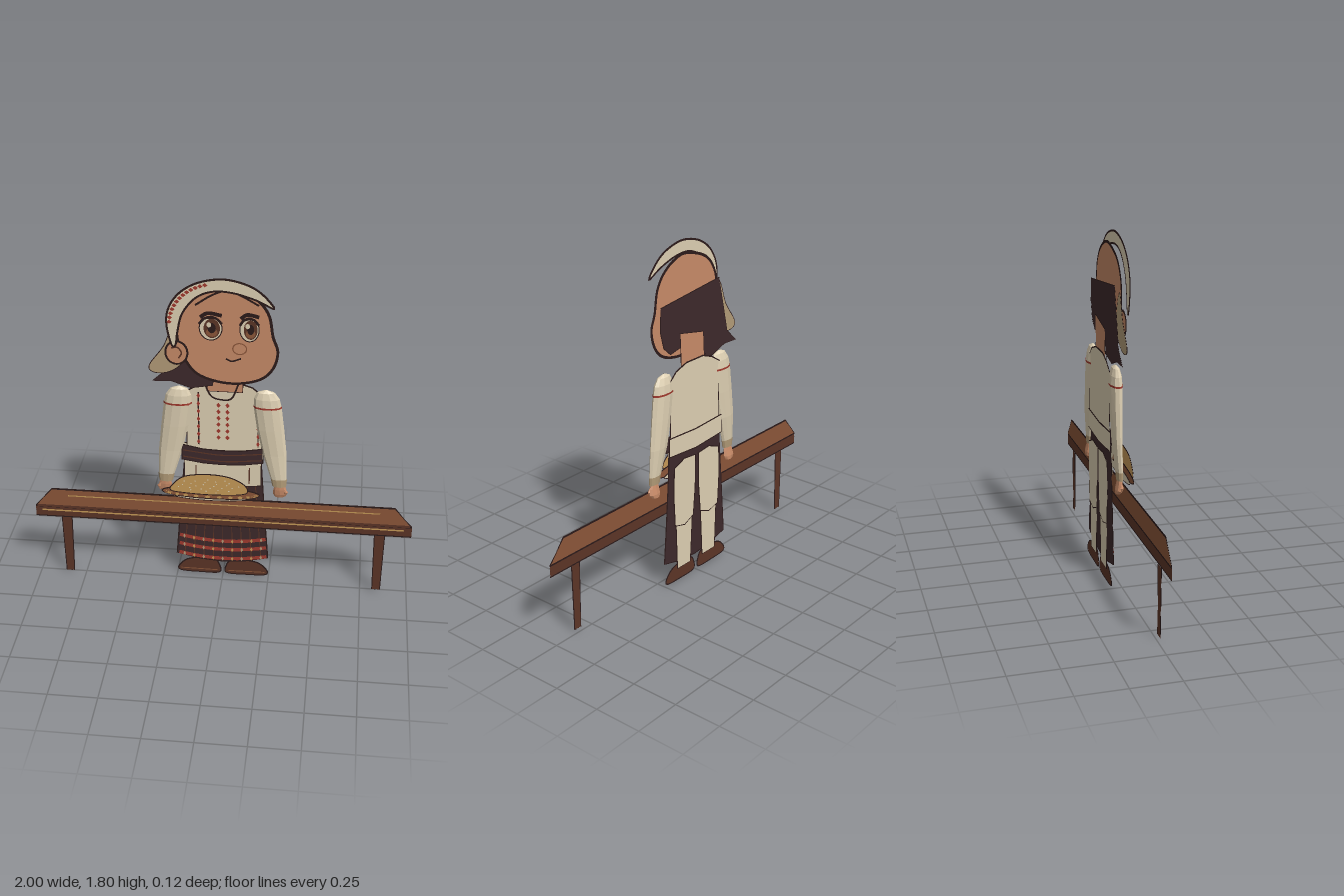
import * as THREE from 'three';

const paint = (name, color) => {
  const m = new THREE.MeshStandardMaterial({ color, side: THREE.DoubleSide });
  m.name = name;
  return m;
};

export function createModel() {
  const skin = paint('skin', 0xc88b68), cream = paint('cream', 0xded0b3), tan = paint('tan', 0xb39c78);
  const wood = paint('wood', 0x8c573a), darkWood = paint('dark wood', 0x5c3527), hair = paint('dark cloth', 0x3d292b);
  const red = paint('red', 0xa23a2e), gold = paint('crust gold', 0xc79a58), ink = paint('ink', 0x2c1b1a);
  const root = new THREE.Group();

  const group = (name, parent = root) => {
    const g = new THREE.Group();
    g.name = name;
    parent.add(g);
    return g;
  };
  const add = (g, name, geo, mat) => {
    const m = new THREE.Mesh(geo, mat);
    m.name = name;
    g.add(m);
    return m;
  };
  const spline = (pts, closed) =>
    new THREE.CatmullRomCurve3(pts.map(p => new THREE.Vector3(p[0], p[1], 0)), closed, 'catmullrom', 0.5)
      .getPoints(pts.length * 5).map(v => [v.x, v.y]);

  // Flat line of constant width along a path
  function line(g, name, pts, w, z, mat = ink, closed = false) {
    const n = pts.length, pos = [], idx = [];
    for (let i = 0; i < n; i++) {
      const a = pts[closed ? (i + n - 1) % n : Math.max(i - 1, 0)];
      const b = pts[closed ? (i + 1) % n : Math.min(i + 1, n - 1)];
      const dx = b[0] - a[0], dy = b[1] - a[1], l = (Math.hypot(dx, dy) || 1) * 2 / w;
      pos.push(pts[i][0] - dy / l, pts[i][1] + dx / l, z, pts[i][0] + dy / l, pts[i][1] - dx / l, z);
      if (closed || i < n - 1) {
        const k = 2 * i, m = 2 * ((i + 1) % n);
        idx.push(k, k + 1, m, k + 1, m + 1, m);
      }
    }
    const geo = new THREE.BufferGeometry();
    geo.setAttribute('position', new THREE.Float32BufferAttribute(pos, 3));
    geo.setIndex(idx);
    geo.computeVertexNormals();
    return add(g, name, geo, mat);
  }

  // Flat cut-out, with an outline on both faces when w > 0
  function plate(g, name, pts, mat, z, w = 0, smooth = false) {
    const p = smooth ? spline(pts, true).slice(0, -1) : pts;
    const geo = new THREE.ShapeGeometry(new THREE.Shape(p.map(q => new THREE.Vector2(...q))));
    add(g, name, geo.translate(0, 0, z), mat);
    if (w) for (const s of [1, -1]) line(g, name + 'Outline', p, w, z + s * 0.0012, ink, true);
  }
  const oval = (x, y, rx, ry, n = 24) => Array.from({ length: n }, (_, i) => {
    const a = i / n * Math.PI * 2;
    return [x + rx * Math.cos(a), y + ry * Math.sin(a)];
  });
  const box = (x0, y0, x1, y1) => [[x0, y0], [x1, y0], [x1, y1], [x0, y1]];
  const flip = pts => pts.map(([x, y]) => [-x, y]);

  // Faceted tube through rows of [y, x, z, rx, rz]
  function loft(g, name, rows, side, mat, n = 10) {
    const pos = [], idx = [];
    rows.forEach(([y, x, z, rx, rz], r) => {
      for (let i = 0; i < n; i++) {
        const a = i / n * Math.PI * 2;
        pos.push(side * x + rx * Math.cos(a), y, z + rz * Math.sin(a));
        const k = r * n + i, m = r * n + (i + 1) % n;
        if (r < rows.length - 1) idx.push(k, m, k + n, m, m + n, k + n);
      }
    });
    let geo = new THREE.BufferGeometry();
    geo.setAttribute('position', new THREE.Float32BufferAttribute(pos, 3));
    geo.setIndex(idx);
    geo = geo.toNonIndexed();
    geo.computeVertexNormals();
    add(g, name, geo, mat);
  }

  // Table
  const table = group('table');
  plate(table, 'tableTop', [[-1, 0.43], [1, 0.43], [0.905, 0.543], [-0.905, 0.543]], wood, 0.02, 0.009);
  plate(table, 'tableEdge', box(-1, 0.37, 1, 0.43), darkWood, 0.02, 0.007);
  line(table, 'topHighlight', [[-0.82, 0.505], [0.83, 0.505]], 0.007, 0.022, gold);
  line(table, 'edgeHighlight', [[-0.965, 0.408], [0.96, 0.408]], 0.009, 0.022, gold);
  line(table, 'topLip', [[-0.99, 0.435], [0.99, 0.435]], 0.014, 0.0225, darkWood);
  for (const s of [-1, 1])
    plate(table, 'tableLeg', [[s * 0.862, 0.37], [s * 0.857, 0.01], [s * 0.815, 0.01], [s * 0.808, 0.37]], darkWood, 0.015, 0.005);

  // Bread on a braided plate
  const bread = group('bread');
  plate(bread, 'cloth', oval(-0.055, 0.565, 0.2, 0.025), cream, 0.038, 0.004);
  plate(bread, 'plateRim', oval(-0.055, 0.59, 0.255, 0.036, 36), wood, 0.042, 0.006);
  for (let i = 0; i < 24; i++) {
    const a = Math.PI * (1.02 + 0.96 * i / 23);
    plate(bread, 'braid', oval(-0.055 + 0.235 * Math.cos(a), 0.59 + 0.024 * Math.sin(a), 0.013, 0.008, 8), i % 2 ? gold : wood, 0.046);
  }
  plate(bread, 'loaf', [[-0.265, 0.605], [-0.25, 0.64], [-0.19, 0.69], [-0.08, 0.708], [0.03, 0.7], [0.11, 0.665], [0.14, 0.62],
    [0.1, 0.595], [-0.06, 0.585], [-0.22, 0.592]], gold, 0.052, 0.005, true);
  for (let i = 0; i < 26; i++) {
    const a = i * 2.4, r = Math.sqrt((i + 0.5) / 26);
    plate(bread, 'seed', oval(-0.06 + 0.17 * r * Math.cos(a), 0.643 + 0.043 * r * Math.sin(a), 0.004, 0.004, 6), cream, 0.06);
  }

  // Legs and shoes
  const legs = group('legs');
  for (const s of [-1, 1]) {
    plate(legs, 'thigh', [[s * 0.175, 0.33], [s * 0.185, 0.5], [s * 0.18, 0.66], [s * 0.1, 0.69], [s * 0.012, 0.68],
      [s * 0.015, 0.5], [s * 0.03, 0.34], [s * 0.1, 0.31]], cream, -0.06, 0.006);
    plate(legs, 'shin', [[s * 0.165, 0.34], [s * 0.155, 0.07], [s * 0.05, 0.07], [s * 0.035, 0.34]], cream, -0.057, 0.006);
    plate(legs, 'shoe', [[s * 0.02, 0.008], [s * 0.02, 0.06], [s * 0.05, 0.095], [s * 0.13, 0.098], [s * 0.2, 0.08],
      [s * 0.242, 0.035], [s * 0.23, 0.008], [s * 0.13, 0.003]], darkWood, -0.054, 0.007, true);
    line(legs, 'shoeSole', [[s * 0.03, 0.024], [s * 0.23, 0.026]], 0.006, -0.05, wood);
  }

  // Skirt with woven bands
  const skirt = group('skirt');
  plate(skirt, 'skirtCloth', [[-0.2, 0.75], [0.2, 0.75], [0.225, 0.38], [0.245, 0.13], [0.12, 0.1], [0, 0.09], [-0.12, 0.1],
    [-0.25, 0.13], [-0.23, 0.38]], hair, -0.045, 0.007);
  for (let i = -4; i <= 4; i++) line(skirt, 'pleat', [[i * 0.043, 0.6], [i * 0.052, 0.12]], 0.005, -0.042, darkWood);
  for (const y of [0.255, 0.2, 0.14]) {
    const w = 0.245 - y * 0.05, sag = x => y - 0.028 * (1 - (x / w) ** 2);
    const path = Array.from({ length: 13 }, (_, i) => w * (i / 6 - 1)).map(x => [x, sag(x)]);
    line(skirt, 'band', path, 0.022, -0.04, red);
    for (let i = -4; i <= 4; i++) plate(skirt, 'bandKnot', oval(i * 0.052, sag(i * 0.052), 0.007, 0.014, 4), i % 2 ? gold : tan, -0.037);
  }

  // Shirt, belt and embroidery
  const shirt = group('shirt');
  plate(shirt, 'torso', [[-0.185, 0.78], [0.2, 0.78], [0.195, 1], [0.2, 1.13], [0.15, 1.175], [0.07, 1.2], [-0.06, 1.2],
    [-0.13, 1.175], [-0.2, 1.13], [-0.19, 1]], cream, -0.05, 0.007);
  plate(shirt, 'waistBack', [[-0.21, 0.73], [0, 0.715], [0.21, 0.73], [0.21, 0.83], [0, 0.82], [-0.21, 0.83]], cream, -0.054, 0.006);
  plate(shirt, 'shirtHem', [[-0.2, 0.6], [0, 0.58], [0.2, 0.6], [0.2, 0.75], [-0.2, 0.75]], cream, -0.036, 0.005);
  for (const x of [-0.14, 0.14]) line(shirt, 'hemFold', [[x, 0.71], [x, 0.61]], 0.006, -0.032, darkWood);
  plate(shirt, 'belt', [[-0.212, 0.745], [-0.1, 0.728], [0, 0.724], [0.1, 0.728], [0.208, 0.745], [0.205, 0.83], [0.1, 0.812],
    [0, 0.808], [-0.1, 0.812], [-0.21, 0.835]], hair, -0.028, 0.006);
  for (const y of [0.788, 0.75])
    line(shirt, 'beltTrim', spline([[-0.205, y + 0.015], [0, y - 0.005], [0.203, y + 0.013]]), 0.007, -0.024, darkWood);
  line(shirt, 'collar', spline([[-0.095, 1.2], [-0.06, 1.125], [-0.01, 1.105], [0.045, 1.115], [0.08, 1.2]]), 0.009, -0.038);
  for (const x of [-0.125, 0.182]) {
    line(shirt, 'seam', [[x, 1.14], [x, 0.83]], 0.007, -0.044, ink);
    for (let i = 0; i < 7; i++) plate(shirt, 'stitch', oval(x, 1.12 - i * 0.045, 0.009, 0.015, 4), red, -0.041);
  }
  for (const x of [-0.022, 0.024])
    for (let i = 0; i < 6; i++) plate(shirt, 'stitch', oval(x, 1.07 - i * 0.038, 0.011, 0.014, 4), red, -0.041);

  // Arms
  for (const s of [-1, 1]) {
    const arm = group(s > 0 ? 'leftArm' : 'rightArm');
    loft(arm, 'sleeve', [[1.18, 0.22, -0.028, 0.004, 0.002], [1.165, 0.22, -0.028, 0.045, 0.017], [1.13, 0.224, -0.029, 0.065, 0.027],
      [1.08, 0.229, -0.03, 0.071, 0.031], [0.95, 0.246, -0.032, 0.07, 0.029], [0.8, 0.27, -0.034, 0.062, 0.024],
      [0.65, 0.295, -0.029, 0.041, 0.017]], s, cream);
    loft(arm, 'sleeveBand', [[1.088, 0.229, -0.03, 0.0725, 0.032], [1.078, 0.229, -0.03, 0.0725, 0.032]], s, red);
    loft(arm, 'cuff', [[0.655, 0.295, -0.029, 0.043, 0.018], [0.61, 0.298, -0.028, 0.036, 0.016], [0.608, 0.298, -0.028, 0.001, 0.001]], s, tan);
    loft(arm, 'hand', [[0.615, 0.3, -0.028, 0.026, 0.011], [0.59, 0.302, -0.03, 0.034, 0.014], [0.56, 0.303, -0.035, 0.038, 0.016],
      [0.54, 0.3, -0.038, 0.026, 0.013], [0.535, 0.3, -0.038, 0.002, 0.002]], s, skin, 8);
    loft(arm, 'thumb', [[0.595, 0.325, -0.025, 0.004, 0.004], [0.575, 0.333, -0.026, 0.012, 0.009], [0.55, 0.33, -0.028, 0.003, 0.003]], s, skin, 6);
  }

  // Head, hair and kerchief
  const head = group('head');
  plate(head, 'neck', [[-0.08, 1.15], [0.1, 1.15], [0.11, 1.36], [-0.07, 1.325]], skin, -0.042, 0.005);
  plate(head, 'hair', [[0.24, 1.52], [-0.21, 1.57], [-0.25, 1.4], [-0.28, 1.27], [-0.355, 1.2], [-0.26, 1.205], [-0.16, 1.17],
    [-0.05, 1.19], [-0.04, 1.27], [0.1, 1.28], [0.17, 1.265], [0.22, 1.31], [0.245, 1.4]], hair, -0.03, 0.004);
  plate(head, 'kerchiefTail', [[-0.235, 1.54], [-0.29, 1.41], [-0.365, 1.3], [-0.345, 1.26], [-0.27, 1.265], [-0.2, 1.32],
    [-0.18, 1.42]], tan, -0.012, 0.004, true);
  plate(head, 'face', [[0.01, 1.74], [0.1, 1.725], [0.18, 1.675], [0.23, 1.6], [0.25, 1.49], [0.275, 1.41], [0.255, 1.32], [0.195, 1.255],
    [0.09, 1.225], [-0.02, 1.23], [-0.125, 1.27], [-0.185, 1.35], [-0.22, 1.46], [-0.215, 1.59], [-0.14, 1.69]], skin, 0, 0.014, true);
  plate(head, 'ear', oval(-0.225, 1.385, 0.055, 0.063), skin, 0.008, 0.01);
  line(head, 'earFold', spline([[-0.25, 1.41], [-0.22, 1.415], [-0.2, 1.385], [-0.215, 1.355]]), 0.008, 0.011, darkWood);
  plate(head, 'headband', [[-0.245, 1.44], [-0.268, 1.55], [-0.255, 1.64], [-0.2, 1.72], [-0.11, 1.775], [0.01, 1.797], [0.125, 1.772],
    [0.2, 1.725], [0.255, 1.655], [0.17, 1.695], [0.06, 1.728], [-0.04, 1.732], [-0.125, 1.695], [-0.19, 1.61],
    [-0.215, 1.51], [-0.225, 1.44]], cream, 0.03, 0.01, true);
  for (let i = 0; i < 13; i++) {
    const a = Math.PI * (0.98 - 0.4 * i / 12);
    plate(head, 'headbandStitch', oval(-0.02 + 0.235 * Math.cos(a), 1.55 + 0.222 * Math.sin(a), 0.013, 0.011, 4), red, 0.034);
  }
  line(head, 'hairlineLeft', spline([[0.02, 1.735], [0.1, 1.7], [0.18, 1.655]]), 0.01, 0.004);
  line(head, 'hairlineRight', spline([[0.03, 1.735], [-0.05, 1.7], [-0.13, 1.645]]), 0.01, 0.004);

  // Eyes, brows, nose and mouth
  for (const [x, w] of [[-0.055, 0.056], [0.135, 0.047]]) {
    const y = 1.525;
    plate(head, 'eyeWhite', oval(x, y, w, 0.064), cream, 0.004, 0.005);
    plate(head, 'iris', oval(x + 0.006, y, w * 0.72, 0.052), darkWood, 0.007);
    plate(head, 'irisGlow', oval(x + 0.006, y - 0.02, w * 0.5, 0.024), wood, 0.009);
    plate(head, 'pupil', oval(x + 0.006, y + 0.004, w * 0.36, 0.028), ink, 0.011);
    plate(head, 'eyeGlint', oval(x - 0.008, y + 0.022, 0.012, 0.014, 12), cream, 0.013);
    line(head, 'lash', spline([[x - w, y + 0.025], [x - w * 0.5, y + 0.056], [x + w * 0.4, y + 0.06], [x + w, y + 0.03]]), 0.013, 0.014);
    line(head, 'brow', spline([[x - w * 0.9, y + 0.062], [x - w * 0.2, y + 0.085], [x + w, y + 0.075]]), 0.02, 0.015);
  }
  plate(head, 'nose', oval(0.088, 1.42, 0.034, 0.03), skin, 0.005);
  line(head, 'noseLine', oval(0.088, 1.42, 0.034, 0.03), 0.006, 0.007, wood, true);
  line(head, 'mouth', spline([[0.02, 1.362], [0.05, 1.35], [0.095, 1.366]]), 0.009, 0.005);
  return root;
}
